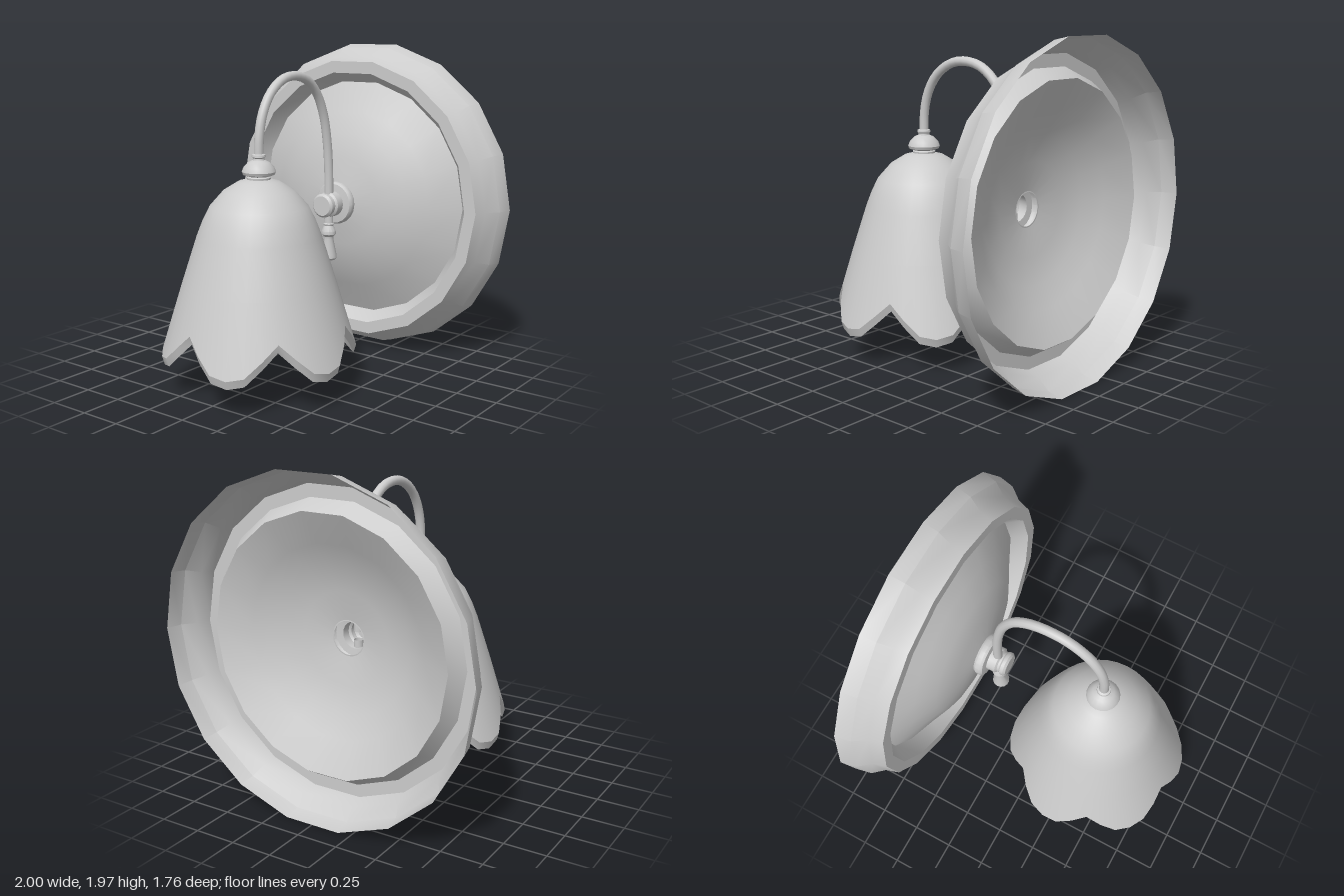
import * as THREE from 'three';
import { mergeVertices, toCreasedNormals } from 'three/addons/utils/BufferGeometryUtils.js';

const CENTRE_Y = 0.985; // height of the wall plate axis
const SHADE_Z = 0.325; // axis of the shade and its cap
const ARM_Z = -0.375; // axis of the rear end of the arm

const material = new THREE.MeshStandardMaterial({ color: 0xcccccc, side: THREE.DoubleSide });

function part(name, geometry) {
  const mesh = new THREE.Mesh(geometry, material);
  mesh.name = name;
  return mesh;
}

// Profile points are [radius, position along the axis].
function lathe(profile, segments, phiStart = 0) {
  const points = profile.map(([r, a]) => new THREE.Vector2(r, a));
  return new THREE.LatheGeometry(points, segments, phiStart);
}

function turned(name, profile, segments, crease = 0.6) {
  return part(name, toCreasedNormals(lathe(profile, segments, Math.PI / 2), crease));
}

// How far the shade's edge hangs below its notches, with six petals around.
function petalDrop(x, z) {
  const angle = THREE.MathUtils.radToDeg(Math.atan2(z, x));
  const step = THREE.MathUtils.euclideanModulo(angle - 40, 60);
  const d = Math.min(step, 60 - step); // degrees from the nearest notch
  return d < 20 ? 0.0085 * d : 0.17 + 0.002 * (d - 20);
}

// A turned surface whose lowest ring is pulled down into petals along the flare.
function petalSurface(name, profile) {
  let geometry = lathe(profile, 36);
  const pos = geometry.attributes.position;
  for (let i = 0; i < pos.count; i++) {
    const x = pos.getX(i), y = pos.getY(i), z = pos.getZ(i);
    if (y > 0.42) continue;
    const drop = petalDrop(x, z);
    const r = Math.hypot(x, z);
    const k = (r + drop * 0.32) / r;
    pos.setXYZ(i, x * k, y - drop, z * k);
  }
  geometry.deleteAttribute('uv');
  geometry.deleteAttribute('normal');
  geometry = mergeVertices(geometry);
  geometry.computeVertexNormals();
  return part(name, geometry);
}

export function createModel() {
  const lamp = new THREE.Group();
  lamp.name = 'wallLamp';

  // Wall mount: turned parts whose axis points forward
  const mount = new THREE.Group();
  mount.name = 'wallMount';
  mount.rotation.x = Math.PI / 2;
  mount.position.y = CENTRE_Y;
  mount.add(turned('wallPlate', [
    [1, -0.87], [0.98, -0.775], [0.92, -0.7], [0.895, -0.62], [0.82, -0.62],
    [0.76, -0.715], [0.57, -0.62], [0.44, -0.55], [0.28, -0.508], [0.1, -0.478],
  ], 18, 0.5));
  mount.add(turned('armSocket', [
    [0.1, -0.48], [0.125, -0.477], [0.135, -0.462], [0.135, -0.435], [0.125, -0.42],
    [0.08, -0.415], [0.08, -0.36], [0.067, -0.35], [0.067, -0.338], [0.075, -0.328],
    [0.075, -0.308], [0.062, -0.295], [0, -0.295],
  ], 20));
  lamp.add(mount);

  // Curved arm
  const path = [
    [1.0, ARM_Z], [1.2, -0.37], [1.38, -0.352], [1.56, -0.308], [1.7, -0.23], [1.78, -0.125],
    [1.805, 0], [1.785, 0.11], [1.71, 0.22], [1.6, 0.29], [1.48, 0.32], [1.35, SHADE_Z],
  ].map(([y, z]) => new THREE.Vector3(0, y, z));
  lamp.add(part('arm', new THREE.TubeGeometry(new THREE.CatmullRomCurve3(path), 36, 0.028, 12)));

  // Hanging finial under the socket
  const finial = turned('finial', [
    [0, 0.63], [0.042, 0.63], [0.052, 0.643], [0.051, 0.665], [0.03, 0.765], [0.032, 0.78],
    [0.046, 0.795], [0.046, 0.815], [0.03, 0.85], [0.034, 0.86], [0.028, 0.868], [0.028, 0.95],
  ], 14);
  finial.position.z = ARM_Z;
  lamp.add(finial);

  // Cap joining the arm to the shade
  const cap = turned('shadeCap', [
    [0, 1.225], [0.068, 1.225], [0.07, 1.245], [0.062, 1.252], [0.092, 1.262], [0.098, 1.278],
    [0.088, 1.305], [0.062, 1.332], [0.035, 1.345], [0.033, 1.355], [0.041, 1.362],
    [0.039, 1.375], [0.028, 1.38],
  ], 18);
  cap.position.z = SHADE_Z;
  lamp.add(cap);

  // Bell shade with petal edge: outer wall, bevelled rim, inner wall
  const shade = new THREE.Group();
  shade.name = 'shade';
  shade.position.z = SHADE_Z;
  shade.add(petalSurface('shadeOuter', [
    [0.515, 0.41], [0.45, 0.63], [0.36, 0.91], [0.325, 1.0], [0.285, 1.08],
    [0.205, 1.17], [0.12, 1.222], [0.06, 1.237],
  ]));
  shade.add(petalSurface('shadeRim', [[0.5, 0.36], [0.515, 0.41]]));
  shade.add(petalSurface('shadeInner', [
    [0.06, 1.205], [0.11, 1.19], [0.185, 1.14], [0.26, 1.06], [0.3, 0.98],
    [0.335, 0.89], [0.42, 0.62], [0.5, 0.36],
  ]));
  lamp.add(shade);

  return lamp;
}
